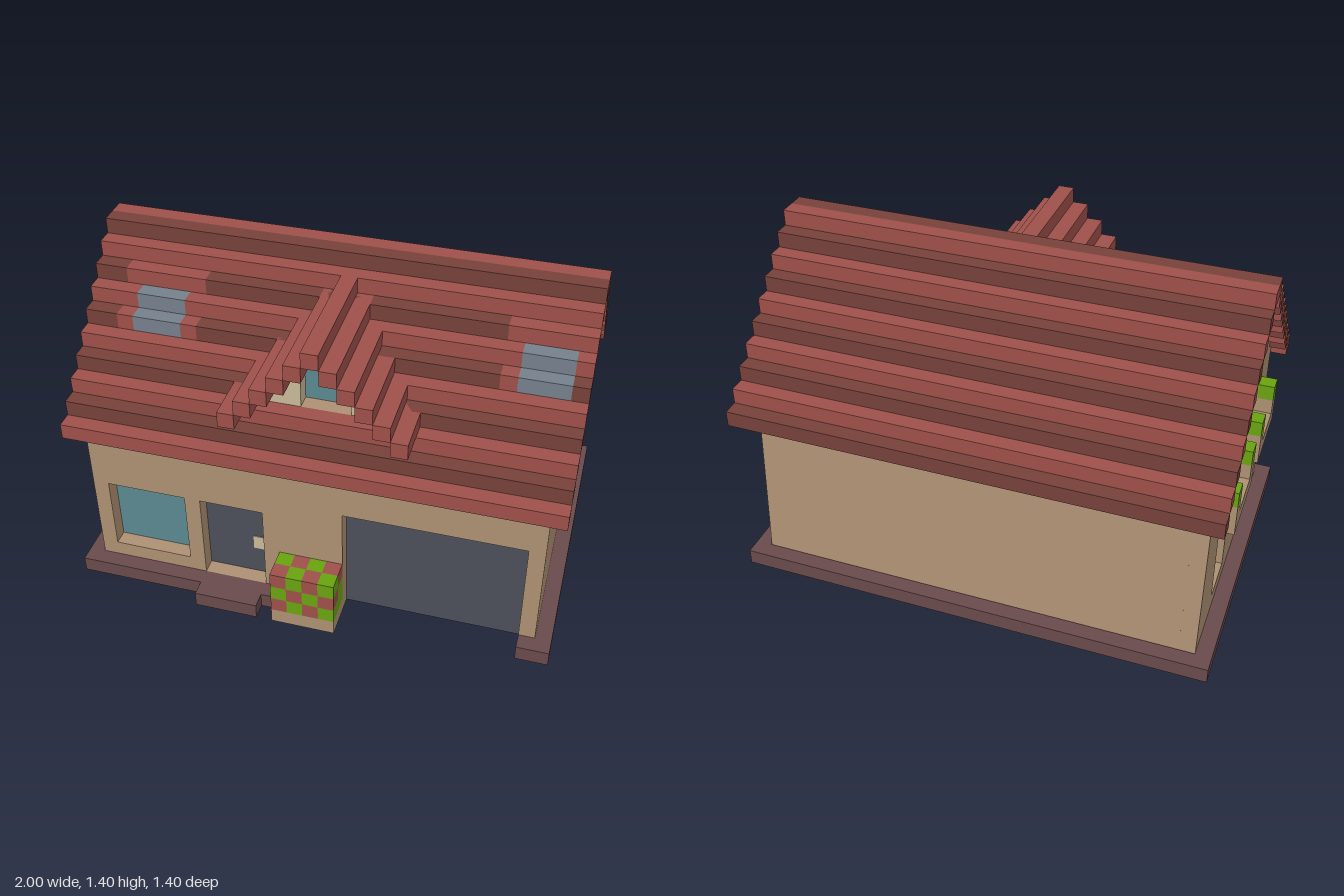
import * as THREE from 'three';

const U = 1 / 15; // one block; all layout below is in blocks (i = x, j = y, k = z)

const paint = (name, color) => {
  const m = new THREE.MeshStandardMaterial({ color });
  m.name = name;
  return m;
};

export function createModel() {
  const tan = paint('tan wall', 0xac9073);
  const red = paint('light red tile', 0x9e504a);
  const darkRed = paint('dark red tile', 0x76403a);
  const plum = paint('plum plinth', 0x694a4b);
  const slate = paint('slate door', 0x4b4f59);
  const teal = paint('teal glass', 0x5c8890);
  const grey = paint('skylight glass', 0x75808c);
  const cream = paint('cream', 0xc9b898);
  const green = paint('leaf green', 0x69a210);

  const house = new THREE.Group();
  house.name = 'house';

  const add = (name, geometry, material) => {
    geometry.scale(U, U, U).translate(-1, 0, -0.7);
    const mesh = new THREE.Mesh(geometry, material);
    mesh.name = name;
    house.add(mesh);
  };
  const box = (name, material, i0, i1, j0, j1, k0, k1) =>
    add(name, new THREE.BoxGeometry(i1 - i0, j1 - j0, k1 - k0)
      .translate((i0 + i1) / 2, (j0 + j1) / 2, (k0 + k1) / 2), material);

  // Shape from corner points, with rectangular holes [a0, a1, b0, b1]
  const outline = (points, holes = []) => {
    const shape = new THREE.Shape(points.map(([a, b]) => new THREE.Vector2(a, b)));
    for (const [a0, a1, b0, b1] of holes) {
      shape.holes.push(new THREE.Path([[a0, b0], [a0, b1], [a1, b1], [a1, b0]]
        .map(([a, b]) => new THREE.Vector2(a, b))));
    }
    return shape;
  };
  const slab = (shape, depth) => new THREE.ExtrudeGeometry(shape, { depth, bevelEnabled: false });
  const alongZ = (name, material, shape, k0, k1) =>
    add(name, slab(shape, k1 - k0).translate(0, 0, k0), material);
  const alongX = (name, material, shape, i0, i1) =>
    add(name, slab(shape, i1 - i0).rotateY(-Math.PI / 2).translate(i1, 0, 0), material);

  // Stepped gable section of the house in (k, j)
  const gable = (bottom) => {
    const points = [[1, bottom], [18, bottom], [18, 12]];
    for (let j = 12; j < 20; j++) points.push([30 - j, j], [30 - j, j + 1]);
    for (let j = 19; j > 11; j--) points.push([j - 10, j + 1], [j - 10, j]);
    return points;
  };

  // Body, with side and front walls that hold the window recesses
  const sideWindows = [];
  for (const k of [5, 12]) for (const j of [2, 9]) sideWindows.push([k, k + 3, j, j + 5]);
  alongX('body', tan, outline(gable(0.05)), 2, 29);
  alongX('leftWall', tan, outline(gable(0), sideWindows), 1, 2);
  alongZ('frontWall', tan, outline(
    [[1, 0], [17, 0], [17, 8], [28, 8], [28, 0], [29, 0], [29, 12], [1, 12]],
    [[2, 7, 2, 7], [8, 12, 1, 7]]), 18, 19);

  // Glass and doors set back in the walls
  for (const [k0, k1, j0, j1] of sideWindows) box('sideWindow', teal, 1.95, 2, j0, j1, k0, k1);
  box('frontWindow', teal, 2, 7, 2, 7, 18, 18.05);
  box('frontDoor', slate, 8, 12, 1, 7, 18, 18.05);
  box('doorHandle', cream, 11, 12, 3, 4, 18, 18.1);
  box('garageDoor', slate, 17, 28, 0, 8, 17, 18.05);

  // Plinth ring and doorstep
  box('plinthBack', plum, 0, 30, 0, 1, 0, 1);
  for (const i of [0, 29]) box('plinthSide', plum, i, i + 1, 0, 1, 1, 19);
  box('plinthFront', plum, 0, 13, 0, 1, 19, 20);
  box('plinthFront', plum, 28, 30, 0, 1, 19, 20);
  box('doorstep', plum, 8, 12, 0, 1, 20, 21);

  // Back roof slope and ridge, in alternating courses
  for (let k = 0; k <= 8; k++) {
    box('backRoofCourse', k % 2 ? red : darkRed, 0, 30, k + 11, k + 12, k, k + 1);
  }
  box('ridgeBack', red, 0, 30, 20, 21, 9, 10);
  box('ridgeFront', darkRed, 0, 30, 20, 21, 10, 11);

  // Front slope; patches [i0, i1, material] interrupt a course, null leaves a gap
  const patches = {
    14: [[11, 20, null]],
    16: [[2, 3, red], [3, 6, grey], [6, 7, red], [25, 26, red], [26, 29, grey]],
    17: [[3, 6, grey], [26, 29, grey]],
    18: [[2, 7, red], [25, 30, red]],
  };
  for (let j = 11; j <= 19; j++) {
    const k = 30 - j, tile = j % 2 ? red : darkRed;
    let from = 0;
    for (const [i0, i1, material] of [...(patches[j] || []), [30, 30, null]]) {
      if (i0 > from) box('frontRoofCourse', tile, from, i0, j, j + 1, k, k + 1);
      if (material) box(material === grey ? 'skylight' : 'skylightFrame', material, i0, i1, j, j + 1, k, k + 1);
      from = i1;
    }
  }
  box('skylightBacking', red, 25, 30, 16, 17, 13, 14);

  // Dormer: stepped roof, cream gable and a recessed window
  const steps = [];
  for (let j = 14; j <= 18; j++) steps.push([34 - j, j], [34 - j, j + 1]);
  for (let j = 18; j >= 14; j--) steps.push([j - 3, j + 1], [j - 3, j]);
  alongZ('dormerFill', cream, outline(steps), 12, 16);
  // the window opening reaches the foot of the gable
  const open = [[17, 14], ...steps, [14, 14], [14, 17], [17, 17]];
  alongZ('dormerGable', cream, outline(open), 16, 17);
  box('dormerWindow', teal, 14, 17, 14, 17, 16, 16.05);
  for (let j = 14; j <= 19; j++) {
    const d = 19 - j;
    for (const i of d ? [15 - d, 15 + d] : [15]) {
      box('dormerRoofCourse', red, i, i + 1, j, j + 1, 30 - j, 20);
    }
  }

  // Flower bed by the door
  box('flowerBedBase', tan, 13, 17, 0, 1, 19, 21);
  for (let i = 13; i < 17; i++) for (let j = 1; j < 4; j++) for (let k = 19; k < 21; k++) {
    const leaf = (i + j + k) % 2 === 1 || (i === 16 && j === 1);
    box(leaf ? 'leaves' : 'flowers', leaf ? green : red, i, i + 1, j, j + 1, k, k + 1);
  }

  // Balcony planters under the upper side windows
  for (const k of [4, 11]) {
    box('balconyFloor', tan, 0, 1, 8, 9, k, k + 5);
    for (const e of [k, k + 4]) {
      box('balconyPost', tan, 0, 1, 9, 10, e, e + 1);
      box('balconyPlant', green, 0, 1, 10, 11, e, e + 1);
    }
  }

  return house;
}
